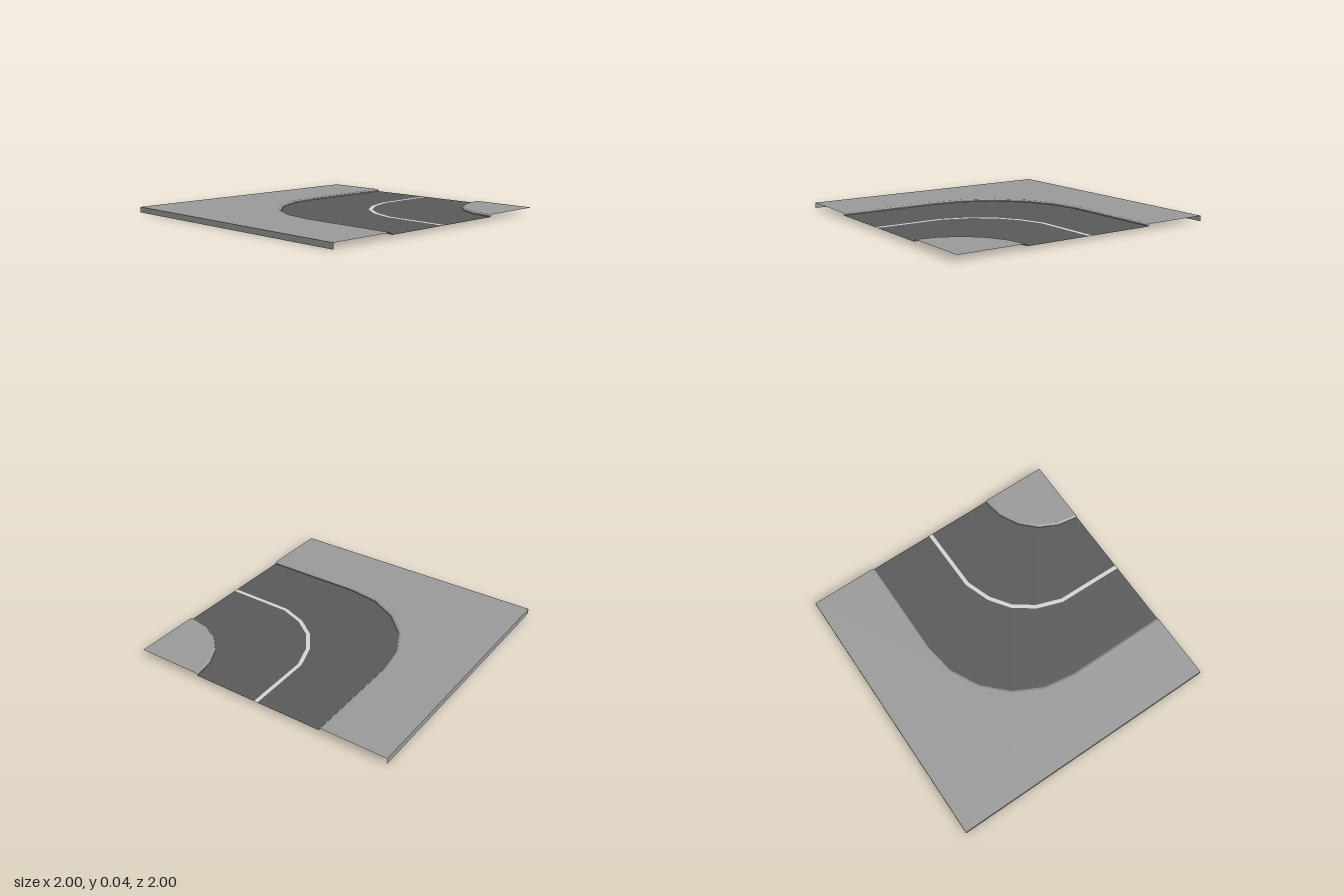
import * as THREE from 'three';

const TOP = 0.04, LIP = 0.031, ROAD = 0.024;

const material = (name, color) =>
  new THREE.MeshStandardMaterial({ name, color, side: THREE.DoubleSide, flatShading: true });

// Plan path [x, z]: from the back edge, round a five-sided quarter bend, to the right edge
function bend(c, r) {
  const pts = c < 1 ? [[c - r, -1]] : [];
  for (let i = 0; i <= 5; i++) {
    const a = (i / 5) * Math.PI / 2;
    pts.push([c - r * Math.cos(a), -c + r * Math.sin(a)]);
  }
  if (c < 1) pts.push([1, -c + r]);
  return pts;
}

// Flat horizontal polygon at height y
function flat(points, y) {
  const shape = new THREE.Shape(points.map(([x, z]) => new THREE.Vector2(x, -z)));
  return new THREE.ShapeGeometry(shape).rotateX(-Math.PI / 2).translate(0, y, 0);
}

// Ribbon of quads between two paths at heights ya and yb
function ribbon(a, ya, b, yb) {
  const pos = [];
  for (let i = 0; i < a.length - 1; i++) {
    const p = [a[i][0], ya, a[i][1]], q = [a[i + 1][0], ya, a[i + 1][1]];
    const s = [b[i][0], yb, b[i][1]], t = [b[i + 1][0], yb, b[i + 1][1]];
    pos.push(...p, ...q, ...s, ...q, ...t, ...s);
  }
  const g = new THREE.BufferGeometry();
  g.setAttribute('position', new THREE.Float32BufferAttribute(pos, 3));
  g.computeVertexNormals();
  return g;
}

// Offset a path sideways in plan with mitred joints
function offset(path, d) {
  return path.map((p, i) => {
    const dir = (m, n) => new THREE.Vector2(n[0] - m[0], n[1] - m[1]).normalize();
    const u = dir(path[Math.max(i - 1, 0)], path[Math.max(i, 1)]);
    const last = path.length - 1;
    const v = dir(path[Math.min(i, last - 1)], path[Math.min(i + 1, last)]);
    const m = u.clone().add(v).normalize();
    const k = d / m.dot(u);
    // keep the ends on the tile edge
    if (i === 0) return [p[0] + d, p[1]];
    if (i === last) return [p[0], p[1] - d];
    return [p[0] + m.y * k, p[1] - m.x * k];
  });
}

export function createModel() {
  const group = new THREE.Group();
  group.name = 'roadBendTile';
  const paving = material('pavingGrey', 0x999999);
  const asphalt = material('asphaltGrey', 0x595959);
  const paint = material('linePaint', 0xd2d2d2);
  const add = (name, geometry, mat) => {
    const mesh = new THREE.Mesh(geometry, mat);
    mesh.name = name;
    group.add(mesh);
  };

  const outerTop = bend(0.25, 0.765), outerRoad = bend(0.25, 0.75);
  const innerTop = bend(1, 0.485), innerRoad = bend(1, 0.5);

  // Raised pavements
  add('outerPavement', flat([...outerTop, [1, 1], [-1, 1], [-1, -1]], TOP), paving);
  add('innerPavement', flat([...innerTop, [1, -1]], TOP), paving);

  // Kerbs: sloped edge above a short upright face
  add('outerKerbSlope', ribbon(outerTop, TOP, outerRoad, LIP), paving);
  add('outerKerbFace', ribbon(outerRoad, LIP, outerRoad, ROAD), paving);
  add('innerKerbSlope', ribbon(innerRoad, LIP, innerTop, TOP), paving);
  add('innerKerbFace', ribbon(innerRoad, ROAD, innerRoad, LIP), paving);

  // Side walls on the front and right-hand edges; the road ends stay open
  const edge = [[-1, -1], [-1, 1], [1, 1]];
  add('sideWalls', ribbon(edge, 0, edge, TOP), paving);

  // Road surface in two halves with the centre line set between them
  const centre = [[0, -1], [0.008, -0.51], [0.073, -0.325], [0.178, -0.178],
    [0.325, -0.073], [0.51, -0.008], [1, 0]];
  const lineOut = offset(centre, -0.014), lineIn = offset(centre, 0.014);
  add('outerLane', flat([...outerRoad, ...lineOut.slice().reverse()], ROAD), asphalt);
  add('innerLane', flat([...lineIn, ...innerRoad.slice().reverse()], ROAD), asphalt);
  add('centreLine', ribbon(lineOut, ROAD, lineIn, ROAD), paint);

  return group;
}
